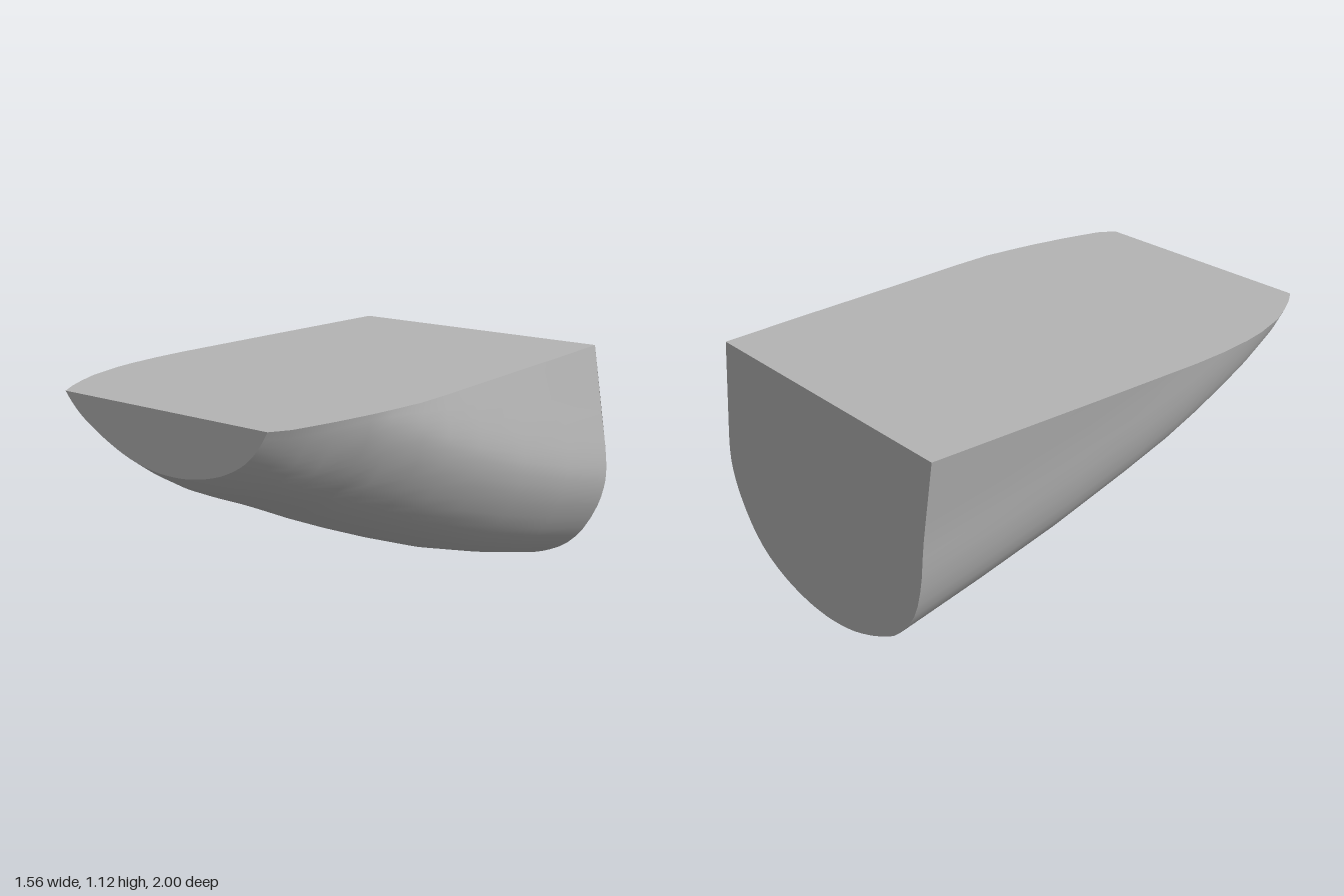
import * as THREE from 'three';

const TOP = 1.115;
const SAMPLES = 48;

// U-shaped rear cross-section, from top -x corner round the keel to top +x corner
const profile = new THREE.CatmullRomCurve3([
  [-0.58, 1.115], [-0.545, 0.92], [-0.51, 0.72], [-0.485, 0.53], [-0.44, 0.37], [-0.38, 0.27],
  [-0.3, 0.18], [-0.2, 0.115], [-0.1, 0.065], [0, 0.028], [0.13, 0.003], [0.2, 0],
  [0.28, 0.003], [0.4, 0.025], [0.5, 0.06], [0.6, 0.12], [0.68, 0.21], [0.75, 0.35],
  [0.775, 0.45], [0.78, 0.52], [0.77, 0.62], [0.74, 0.78], [0.68, 1.115],
].map(([x, y]) => new THREE.Vector3(x, y, 0)));
const KEEL = 11 / 22;

// Stations: z, deck edge at -x, deck edge at +x, keel height
const stations = [
  [-1, -0.58, 0.68, 0], [-0.65, -0.635, 0.66, 0.105], [-0.3, -0.69, 0.635, 0.225],
  [0, -0.735, 0.615, 0.35], [0.2, -0.765, 0.602, 0.44], [0.35, -0.78, 0.588, 0.512],
  [0.5, -0.785, 0.555, 0.59], [0.6, -0.78, 0.53, 0.64], [0.75, -0.755, 0.485, 0.71],
  [0.85, -0.72, 0.45, 0.76], [0.93, -0.685, 0.42, 0.81], [1, -0.645, 0.37, 0.865],
];

// Curve parameter where one side of the profile reaches a height
function paramAtHeight(h, outer) {
  let lo = KEEL, hi = outer;
  for (let i = 0; i < 40; i++) {
    const mid = (lo + hi) / 2;
    if (profile.getPoint(mid).y < h) lo = mid; else hi = mid;
  }
  return hi;
}

// Raised profile, cut off at deck level and fitted between the deck edges
function section([z, left, right, keel]) {
  const u0 = paramAtHeight(TOP - keel, 0), u1 = paramAtHeight(TOP - keel, 1);
  const x0 = profile.getPoint(u0).x, x1 = profile.getPoint(u1).x;
  return Array.from({ length: SAMPLES + 1 }, (_, i) => {
    const p = profile.getPoint(u0 + (u1 - u0) * i / SAMPLES);
    const x = left + (p.x - x0) * (right - left) / (x1 - x0);
    const end = i === 0 || i === SAMPLES;
    return new THREE.Vector3(x, end ? TOP : Math.max(0, p.y + keel), z);
  });
}

function surface(name, points, index, material) {
  const g = new THREE.BufferGeometry().setFromPoints(points);
  g.setIndex(index);
  g.computeVertexNormals();
  const mesh = new THREE.Mesh(g, material);
  mesh.name = name;
  return mesh;
}

// Quads between consecutive rows of points
function loft(name, rows, material) {
  const n = rows[0].length, index = [];
  for (let r = 0; r < rows.length - 1; r++) {
    for (let i = 0; i < n - 1; i++) {
      const a = r * n + i, b = a + n;
      index.push(a, a + 1, b, a + 1, b + 1, b);
    }
  }
  return surface(name, rows.flat(), index, material);
}

// Flat end face as a fan
function cap(name, points, material) {
  const index = [];
  for (let i = 1; i < points.length - 1; i++) index.push(0, i, i + 1);
  return surface(name, points, index, material);
}

export function createModel() {
  const grey = new THREE.MeshStandardMaterial({ color: 0xb4b4b4 });
  grey.name = 'grey';
  const rows = stations.map(section);
  const model = new THREE.Group();
  model.name = 'skewedHull';
  model.add(
    loft('hullSkin', rows, grey),
    loft('deck', rows.map((r) => [r[SAMPLES], r[0]]), grey),
    cap('frontFace', rows[rows.length - 1], grey),
    cap('backFace', [...rows[0]].reverse(), grey),
  );
  return model;
}
